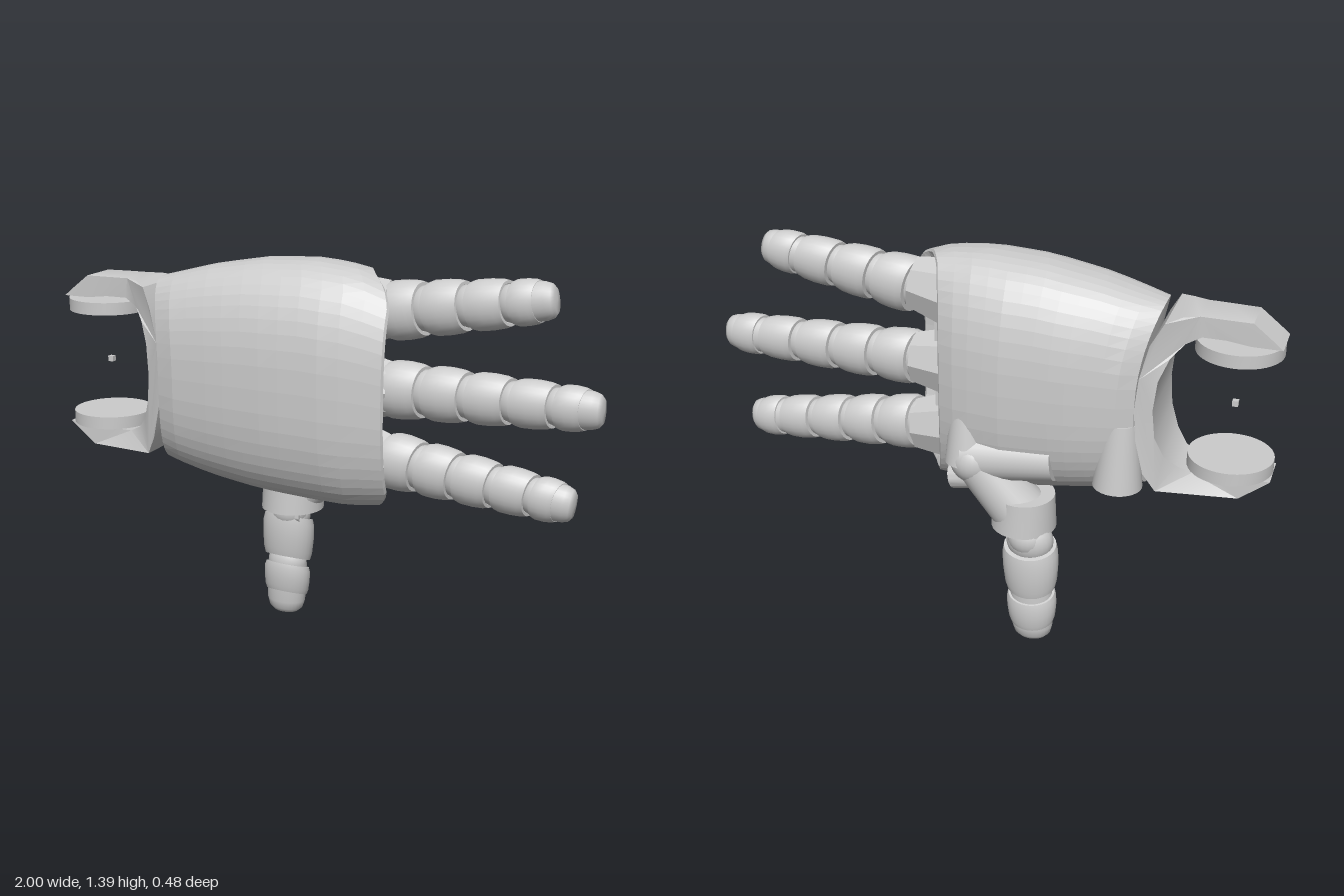
import * as THREE from 'three';
import { toCreasedNormals } from 'three/addons/utils/BufferGeometryUtils.js';

const smooth = new THREE.MeshStandardMaterial({ color: 0xcccccc, side: THREE.DoubleSide });
const faceted = new THREE.MeshStandardMaterial({ color: 0xcccccc, flatShading: true });
const MID = 0.967; // height of the wrist axis

function add(parent, name, geo, pos = [0, 0, 0], mat = smooth) {
  const m = new THREE.Mesh(geo, mat);
  m.name = name;
  m.position.set(...pos);
  parent.add(m);
  return m;
}

// Piecewise linear lookup in [x, value] pairs
function lookup(table, x) {
  if (x <= table[0][0]) return table[0][1];
  for (let i = 1; i < table.length; i++) {
    const [x0, v0] = table[i - 1], [x1, v1] = table[i];
    if (x <= x1) return v0 + (v1 - v0) * (x - x0) / (x1 - x0);
  }
  return table[table.length - 1][1];
}

// Skin over rings of equal point count
function loft(rings) {
  const n = rings[0].length, idx = [];
  for (let i = 0; i < rings.length - 1; i++)
    for (let j = 0; j < n; j++) {
      const k = (j + 1) % n, a = i * n + j, b = i * n + k;
      idx.push(a, b, a + n, b, b + n, a + n);
    }
  const g = new THREE.BufferGeometry();
  g.setAttribute('position', new THREE.Float32BufferAttribute(rings.flat(2), 3));
  g.setIndex(idx);
  g.computeVertexNormals();
  return g;
}

// Solid rod between two points
function rod(parent, name, a, b, ra, rb) {
  const A = new THREE.Vector3(...a), B = new THREE.Vector3(...b), d = B.clone().sub(A);
  const g = toCreasedNormals(new THREE.CylinderGeometry(rb, ra, d.length(), 28), 0.6);
  const m = add(parent, name, g, A.clone().add(B).multiplyScalar(0.5).toArray());
  m.quaternion.setFromUnitVectors(new THREE.Vector3(0, 1, 0), d.normalize());
  return m;
}

// Palm: oval shell with a concave wrist end and a slanted, hollow finger end
function palmGeometry() {
  const top = [[-0.61, 1.30], [-0.4, 1.355], [-0.2, 1.39], [0, 1.40], [0.15, 1.385], [0.2, 1.37], [0.3, 1.33]];
  const bottom = [[-0.6, 0.635], [-0.4, 0.59], [-0.2, 0.562], [0, 0.55], [0.15, 0.545], [0.3, 0.565]];
  const front = [[-0.6, 0.16], [-0.5, 0.205], [-0.3, 0.232], [-0.1, 0.243], [0.1, 0.235], [0.3, 0.195]];
  const back = [[-0.6, -0.13], [-0.5, -0.18], [-0.3, -0.215], [-0.1, -0.225], [0.05, -0.205], [0.13, -0.17]];
  const rimX = [[-0.17, 0.12], [-0.08, 0.155], [0.02, 0.21], [0.08, 0.265], [0.13, 0.295], [0.2, 0.30]];
  const N = 48, M = 12, rings = [];
  const pow = (v) => Math.sign(v) * Math.abs(v) ** 0.8;
  const point = (j, t) => {
    const a = j / N * Math.PI * 2, c = pow(Math.cos(a)), s = pow(Math.sin(a));
    const x0 = -0.61 + 0.06 * (1 - c * c) + (c < 0 ? 0.03 * c * c : 0);
    const x1 = lookup(rimX, s > 0 ? s * 0.2 : s * 0.17);
    const x = x0 + (x1 - x0) * t;
    const hi = lookup(top, x), lo = lookup(bottom, x);
    return [x, (hi + lo) / 2 + c * (hi - lo) / 2, 0.012 + s * ((s > 0 ? lookup(front, x) : -lookup(back, x)) - (s > 0 ? 0.012 : -0.012))];
  };
  const ring = (f) => Array.from({ length: N }, (_, j) => f(j));
  rings.push(ring(() => [-0.55, MID, 0]));
  for (let i = 0; i <= M; i++) rings.push(ring((j) => point(j, i / M)));
  const inset = (k, dx) => ring((j) => {
    const [x, y, z] = point(j, 1);
    return [x + dx, MID + (y - MID) * (1 - k * 0.5), 0.012 + (z - 0.012) * (1 - k)];
  });
  rings.push(inset(0.05, 0.006), inset(0.15, -0.005), inset(0.2, -0.11), inset(0.6, -0.11));
  rings.push(ring(() => [0.1, MID, 0]));
  return loft(rings);
}

// Wrist fork: C-shaped outline whose depth flares toward the palm
function forkGeometry() {
  const outer = [[-1, 1.205], [-0.97, 1.23], [-0.9, 1.285], [-0.8, 1.287], [-0.73, 1.287], [-0.68, 1.285], [-0.63, 1.272], [-0.59, 1.2], [-0.562, 1.08]];
  const inner = [[-0.62, 1.07], [-0.65, 1.145], [-0.69, 1.19], [-0.74, 1.215], [-0.82, 1.215], [-0.9, 1.205]];
  const flip = (pts) => pts.map(([x, y]) => [x, 2 * MID - y]).reverse();
  const pts = [...outer, [-0.552, MID], ...flip(outer), ...flip(inner), [-0.61, MID], ...inner];
  const g = new THREE.ExtrudeGeometry(new THREE.Shape(pts.map((p) => new THREE.Vector2(...p))), { depth: 1, bevelEnabled: false });
  const half = [[-0.74, 0.07], [-0.69, 0.085], [-0.64, 0.125], [-0.6, 0.155], [-0.55, 0.165]];
  const p = g.attributes.position;
  for (let i = 0; i < p.count; i++) p.setZ(i, (p.getZ(i) * 2 - 1) * lookup(half, p.getX(i)));
  return toCreasedNormals(g, 0.5);
}

// Finger along local +y: ball joints wrapped in slanted bands, with a rounded tip
function finger(parent, name, base, angle, length, count, r0, r1, depth) {
  const f = new THREE.Group();
  f.name = name;
  f.position.set(...base);
  f.rotation.z = angle;
  f.scale.z = depth;
  parent.add(f);
  const pitch = length / count;
  for (let i = 0; i < count; i++) {
    const r = r0 + (r1 - r0) * i / (count - 1), y = i * pitch, last = i === count - 1;
    add(f, 'jointBall', new THREE.SphereGeometry(r * 0.86, 24, 16), [0, y, 0]);
    const prof = [[0.78, 0.08], [0.96, 0.08], [1.02, 0.2], [1.02, 0.45], [0.97, 0.7], [0.9, 0.82], [0.78, 0.82], [0.78, 0.08]];
    const h = last ? 0.75 : 1.1;
    const band = new THREE.LatheGeometry(prof.map(([a, b]) => new THREE.Vector2(a * r, b * pitch * h)), 28);
    const p = band.attributes.position;
    for (let k = 0; k < p.count; k++) p.setY(k, p.getY(k) - 0.28 * p.getZ(k));
    add(f, 'band', toCreasedNormals(band, 0.5), [0, y, 0]);
    if (last) {
      const tip = [[0.86, 0], [0.9, 0.4], [0.84, 0.75], [0.74, 0.9], [0.55, 0.98], [0, 1]];
      add(f, 'fingertip', new THREE.LatheGeometry(tip.map(([a, b]) => new THREE.Vector2(a * r, b * pitch)), 28), [0, y, 0]);
    }
  }
}

export function createModel() {
  const hand = new THREE.Group();
  hand.name = 'mechanicalHand';
  add(hand, 'palm', palmGeometry(), [0, 0, 0], faceted);

  // Wrist fork with two round pads and a small centre marker
  add(hand, 'wristFork', forkGeometry());
  for (const s of [-1, 1])
    add(hand, 'wristPad', toCreasedNormals(new THREE.CylinderGeometry(0.145, 0.145, 0.045, 40), 0.6), [-0.855, MID + s * 0.212, 0]);
  add(hand, 'wristCentre', new THREE.BoxGeometry(0.02, 0.02, 0.02), [-0.855, MID, 0]);

  // Fingers with their sockets: base y, tilt, length, number of segments
  const fingers = [
    ['upperFinger', 1.235, 0.14, 0.585, 4],
    ['middleFinger', MID, 0, 0.75, 5],
    ['lowerFinger', 0.715, -0.12, 0.675, 5],
  ];
  for (const [name, y, tilt, length, count] of fingers) {
    finger(hand, name, [0.25, y, 0], tilt - Math.PI / 2, length, count, 0.1, 0.076, 0.76);
    const socket = add(hand, 'fingerSocket', toCreasedNormals(new THREE.CylinderGeometry(0.095, 0.14, 0.18, 8), 0.3), [0.18, y, 0]);
    socket.rotation.z = tilt - Math.PI / 2;
    socket.scale.z = 0.85;
  }
  add(hand, 'knuckleBar', new THREE.BoxGeometry(0.08, 0.56, 0.1), [0.14, MID, 0]);

  // Thumb mount on the back of the palm
  rod(hand, 'thumbAxle', [-0.28, 0.73, -0.125], [0.03, 0.70, -0.135], 0.085, 0.1);
  rod(hand, 'thumbBracket', [0.03, 0.86, -0.14], [0.02, 0.68, -0.15], 0.06, 0.085);
  rod(hand, 'thumbArm', [0.0, 0.69, -0.155], [-0.16, 0.5, -0.13], 0.08, 0.1);
  add(hand, 'thumbKnuckle', new THREE.SphereGeometry(0.088, 28, 18), [0.0, 0.69, -0.153]);
  rod(hand, 'thumbHinge', [0.0, 0.63, -0.16], [0.08, 0.61, -0.16], 0.05, 0.045);
  rod(hand, 'thumbCuff', [-0.172, 0.57, -0.125], [-0.172, 0.445, -0.125], 0.108, 0.115);
  add(hand, 'thumbBall', new THREE.SphereGeometry(0.075, 24, 16), [-0.2, 0.42, -0.16]);
  rod(hand, 'thumbPin', [-0.25, 0.41, -0.13], [-0.14, 0.41, -0.13], 0.028, 0.028);
  finger(hand, 'thumb', [-0.207, 0.405, -0.165], Math.PI - 0.04, 0.4, 2, 0.098, 0.088, 0.76);

  // Tapered lug beside the wrist
  rod(hand, 'wristLug', [-0.5, 0.66, -0.125], [-0.5, 0.9, -0.12], 0.085, 0.06);
  return hand;
}
